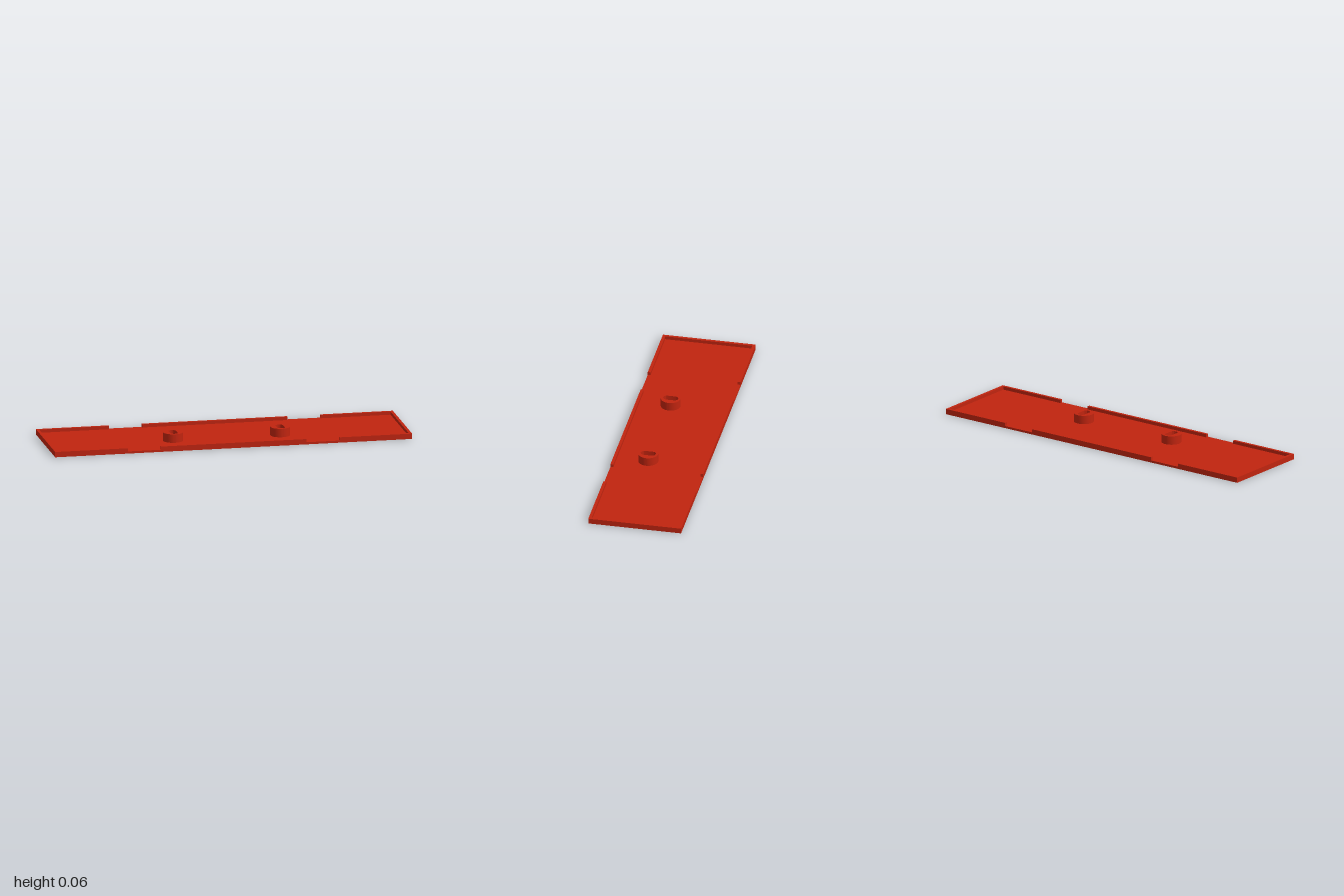
import * as THREE from 'three';
import { toCreasedNormals } from 'three/addons/utils/BufferGeometryUtils.js';

const HALF_W = 1, HALF_D = 0.26;      // plate half sizes
const BASE = 0.012, RIM_TOP = 0.03;   // floor thickness, rim height
const WALL = 0.016;                   // rim thickness
const GAP_IN = 0.407, GAP_OUT = 0.593; // notches in the long rims
const BOSS_X = 0.3, BOSS_Z = 0.07, BOSS_R = 0.055, BOSS_TOP = 0.06;
const SLOT_R = 0.021, SLOT_HALF = 0.042;

// Rounded slot outline, long along z (shape y is -z)
function slotPath(x, y) {
  const s = SLOT_HALF - SLOT_R;
  const p = new THREE.Path();
  p.absarc(x, y + s, SLOT_R, 0, Math.PI, false);
  p.absarc(x, y - s, SLOT_R, Math.PI, Math.PI * 2, false);
  p.closePath();
  return p;
}

// Extrude a plan shape upward between two heights
function slab(shape, y0, y1) {
  const g = new THREE.ExtrudeGeometry(shape, { depth: y1 - y0, bevelEnabled: false, curveSegments: 24 });
  g.rotateX(-Math.PI / 2).translate(0, y0, 0);
  return toCreasedNormals(g, 0.6);
}

function polygon(points) {
  return new THREE.Shape(points.map(([x, y]) => new THREE.Vector2(x, y)));
}

export function createModel() {
  const model = new THREE.Group();
  model.name = 'slottedCoverPlate';
  const red = new THREE.MeshStandardMaterial({ color: 0xc0240f });
  red.name = 'red';

  const add = (name, geometry) => {
    const mesh = new THREE.Mesh(geometry, red);
    mesh.name = name;
    model.add(mesh);
  };

  // Floor with two slots cut through
  const floor = polygon([[-HALF_W, -HALF_D], [HALF_W, -HALF_D], [HALF_W, HALF_D], [-HALF_W, HALF_D]]);
  for (const s of [-1, 1]) floor.holes.push(slotPath(s * BOSS_X, -BOSS_Z));
  add('floor', slab(floor, 0, BASE));

  for (const s of [-1, 1]) {
    const side = s > 0 ? 'left' : 'right';

    // U-shaped rim around each short end
    const xi = HALF_W - WALL, zi = HALF_D - WALL;
    const end = polygon([
      [GAP_OUT, -HALF_D], [HALF_W, -HALF_D], [HALF_W, HALF_D], [GAP_OUT, HALF_D],
      [GAP_OUT, zi], [xi, zi], [xi, -zi], [GAP_OUT, -zi],
    ].map(([x, y]) => [s * x, y]));
    add(side + 'EndRim', slab(end, BASE, RIM_TOP));

    // Slotted round boss
    const boss = new THREE.Shape();
    boss.absarc(s * BOSS_X, -BOSS_Z, BOSS_R, 0, Math.PI * 2, false);
    boss.holes.push(slotPath(s * BOSS_X, -BOSS_Z));
    add(side + 'Boss', slab(boss, BASE, BOSS_TOP));

    // Middle rim on the front and back edges
    const rim = new THREE.BoxGeometry(GAP_IN * 2, RIM_TOP - BASE, WALL);
    rim.translate(0, (RIM_TOP + BASE) / 2, s * (HALF_D - WALL / 2));
    add((s > 0 ? 'front' : 'back') + 'MiddleRim', rim);
  }
  return model;
}
